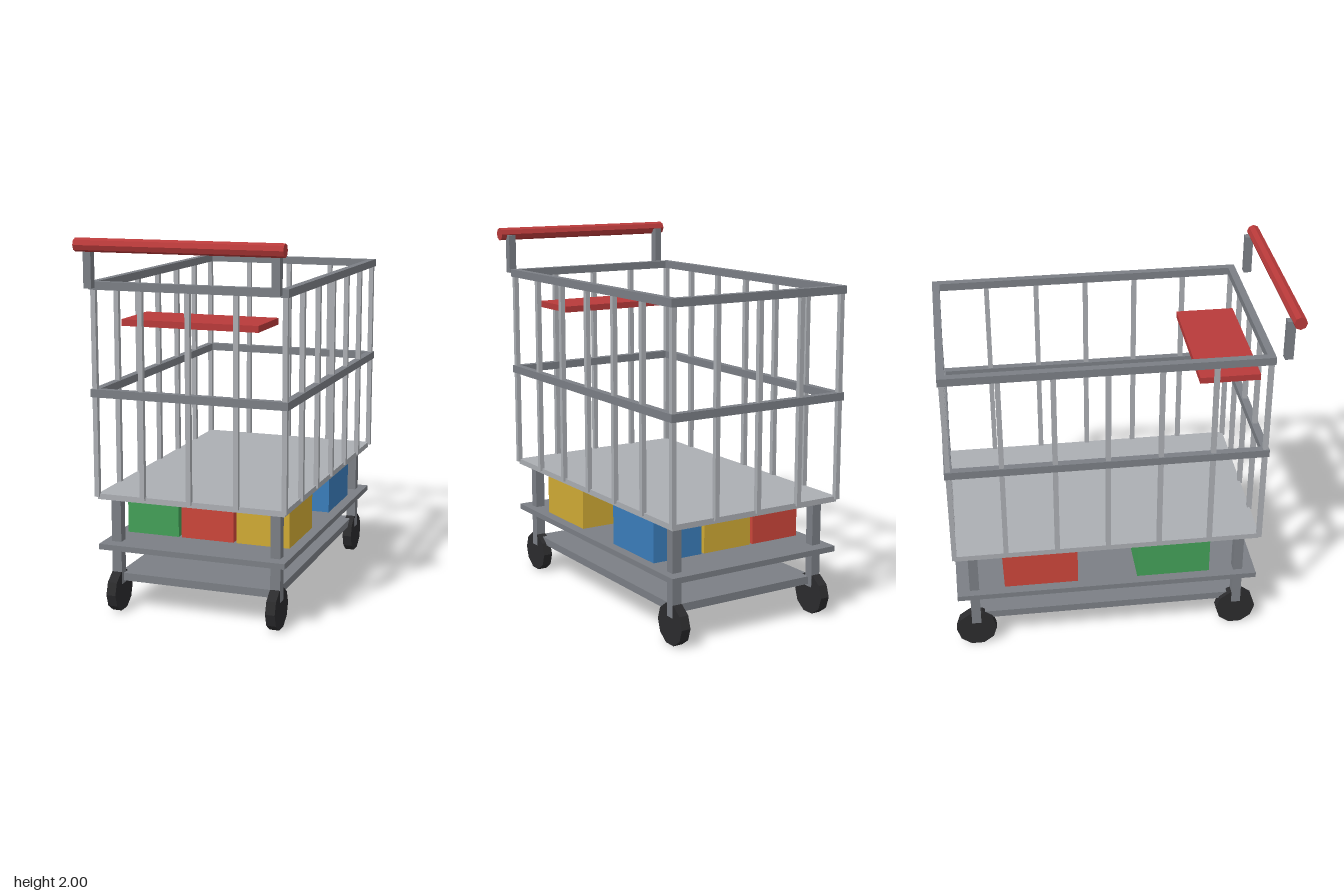
import * as THREE from 'three';

const material = (color) => new THREE.MeshStandardMaterial({ color, flatShading: true });
const frameMat = material(0x7b7f85);
const barMat = material(0xabaeb3);
const redMat = material(0xb83a3a);
const tyreMat = material(0x2b2b2d);
const crateMats = {
  green: material(0x43a058),
  red: material(0xcc463a),
  yellow: material(0xd0aa34),
  blue: material(0x3a7dbb),
};

export function createModel() {
  const cart = new THREE.Group();
  cart.name = 'shoppingCart';

  const add = (name, geometry, mat, x, y, z) => {
    const mesh = new THREE.Mesh(geometry, mat);
    mesh.name = name;
    mesh.position.set(x, y, z);
    cart.add(mesh);
    return mesh;
  };
  const box = (name, mat, w, h, d, x, y, z) =>
    add(name, new THREE.BoxGeometry(w, h, d), mat, x, y, z);

  // Basket footprint
  const halfW = 0.515, halfL = 0.83, midZ = -0.068;

  // Basket floor, lower shelf and base plate
  box('basketFloor', barMat, halfW * 2, 0.03, halfL * 2, 0, 0.64, midZ);
  box('lowerShelf', frameMat, halfW * 2, 0.03, halfL * 2, 0, 0.365, midZ);
  box('basePlate', frameMat, 0.89, 0.042, 1.47, 0, 0.18, midZ);

  // Middle and top rims
  for (const [name, y] of [['middleRim', 1.193], ['topRim', 1.75]]) {
    for (const s of [-1, 1]) {
      box(name, frameMat, halfW * 2 + 0.04, 0.042, 0.04, 0, y, midZ + s * halfL);
      box(name, frameMat, 0.04, 0.042, halfL * 2 + 0.04, s * halfW, y, midZ);
    }
  }

  // Upright bars: five across each end, seven along each side
  const bar = (x, z) => box('basketBar', barMat, 0.026, 1.11, 0.026, x, 1.195, z);
  for (const s of [-1, 1]) {
    for (let i = 0; i <= 4; i++) bar(halfW * (i / 2 - 1), midZ + s * halfL);
    for (let i = 1; i < 6; i++) bar(s * halfW, midZ + halfL * (i / 3 - 1));
  }

  // Legs and wheels
  const wheelGeometry = new THREE.CylinderGeometry(0.1115, 0.1115, 0.052, 10).rotateZ(Math.PI / 2);
  for (const x of [-0.444, 0.444]) {
    for (const z of [0.667, -0.803]) {
      box('leg', frameMat, 0.054, 0.485, 0.052, x, 0.3875, z);
      add('wheel', wheelGeometry, tyreMat, x, 0.106, z);
    }
  }

  // Push handle on two posts
  for (const s of [-1, 1]) box('handlePost', frameMat, 0.042, 0.215, 0.043, s * 0.497, 1.853, 0.85);
  add('handle', new THREE.CylinderGeometry(0.035, 0.035, 1.1, 8).rotateZ(Math.PI / 2),
    redMat, 0, 1.965, 0.886);

  // Child seat
  box('childSeat', redMat, 0.737, 0.034, 0.32, 0, 1.564, 0.59);

  // Two rows of crates on the lower shelf
  const rows = [[0.303, ['green', 'red', 'yellow']], [-0.433, ['red', 'yellow', 'blue']]];
  for (const [z, colors] of rows) {
    colors.forEach((c, i) =>
      box(`${c}Crate`, crateMats[c], 0.295, 0.225, 0.405, (i - 1) * 0.312, 0.4925, z));
  }

  return cart;
}
